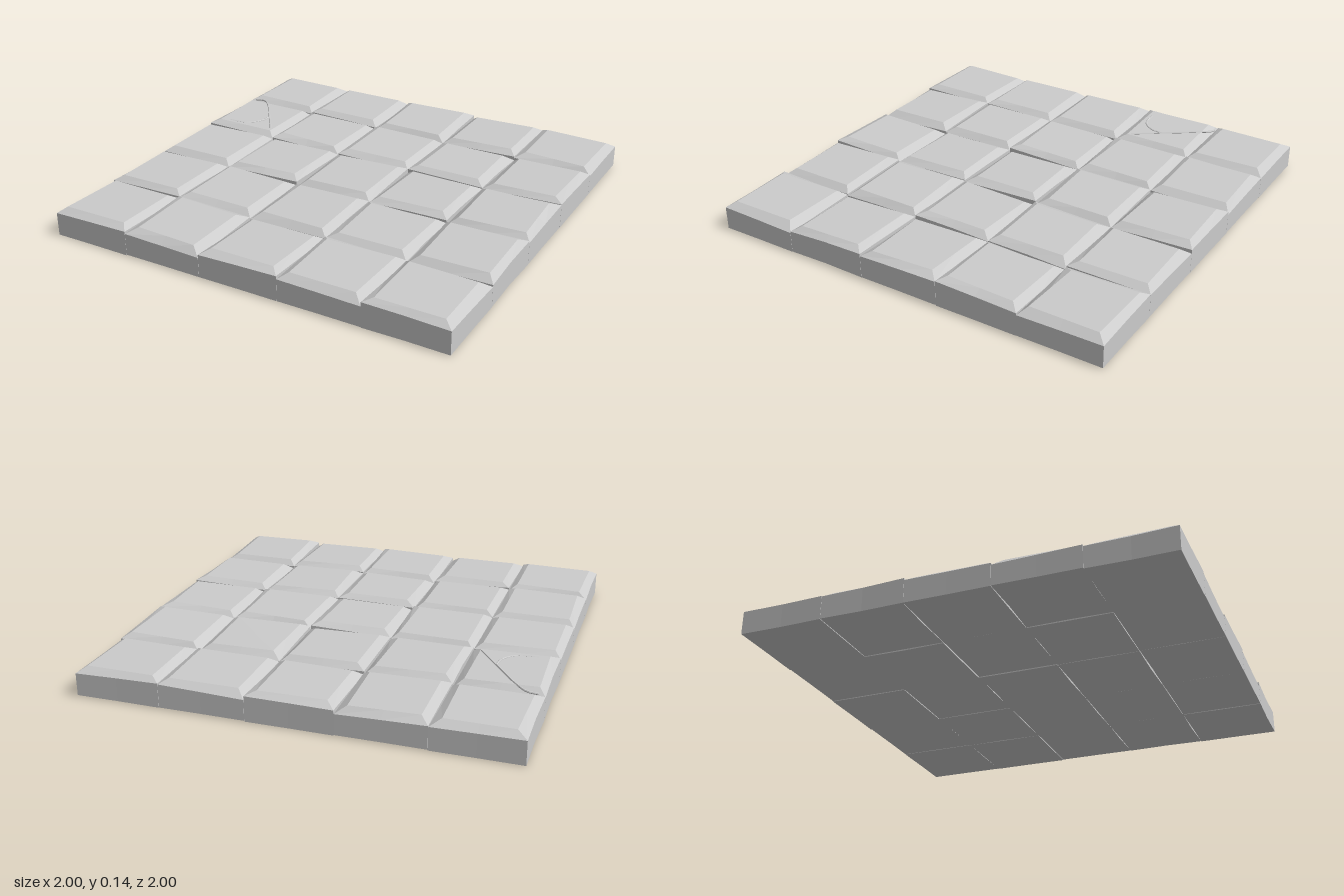
import * as THREE from 'three';

const TILES = 5, PITCH = 0.4;

// Small seeded generator, returns -1..1
function makeJitter(seed) {
  let s = seed;
  return () => {
    s = (s * 16807) % 2147483647;
    return (s / 2147483647) * 2 - 1;
  };
}

// Stone tile: stacked eight-point rings (corners and edge middles), capped at both ends
function tileGeometry(jitter) {
  const corners = [[-1, 1], [1, 1], [1, -1], [-1, -1]];
  const half = PITCH / 2;
  const nicks = corners.map(() => 0.001 + 0.004 * Math.max(0, jitter()));
  const slopeX = 0.008 * jitter(), slopeZ = 0.008 * jitter();
  const insets = corners.map(() => [0.04 + 0.008 * jitter(), 0.04 + 0.008 * jitter()]);
  const baseY = 0.003 + 0.003 * jitter();

  const ring = (height, inset) => {
    const pts = corners.map(([x, z], i) => {
      const [ix, iz] = inset ? insets[i] : [0.0005, 0.0005];
      return [x * (half - ix), height(x, z), z * (half - iz)];
    });
    return pts.flatMap((p, i) => {
      const q = pts[(i + 1) % 4];
      const mid = p.map((v, k) => (v + q[k]) / 2);
      const axis = i % 2 === 0 ? 2 : 0;
      if (!inset) mid[axis] -= Math.sign(mid[axis]) * nicks[i];
      return [p, mid];
    });
  };

  const rings = [
    ring(() => baseY, false),
    ring((x, z) => 0.112 + slopeX * x + slopeZ * z, false),
    ring((x, z) => 0.137 + 0.35 * (slopeX * x + slopeZ * z), true),
  ];
  const n = 8, pos = rings.flat(2), idx = [];
  for (let r = 0; r < 2; r++) {
    for (let i = 0; i < n; i++) {
      const j = (i + 1) % n, a = r * n, b = a + n;
      idx.push(a + i, a + j, b + j, a + i, b + j, b + i);
    }
  }
  // Cap centres
  const low = 3 * n, high = low + 1;
  pos.push(0, baseY, 0, 0, 0.137, 0);
  for (let i = 0; i < n; i++) {
    const j = (i + 1) % n;
    idx.push(low, j, i, high, 2 * n + i, 2 * n + j);
  }
  const indexed = new THREE.BufferGeometry();
  indexed.setAttribute('position', new THREE.Float32BufferAttribute(pos, 3));
  indexed.setIndex(idx);
  const geo = indexed.toNonIndexed();
  geo.computeVertexNormals();
  return geo;
}

// Thin crack line following points [x, y, z]
function crack(name, points, material) {
  const curve = new THREE.CatmullRomCurve3(points.map((p) => new THREE.Vector3(...p)));
  const mesh = new THREE.Mesh(new THREE.TubeGeometry(curve, 24, 0.005, 6), material);
  mesh.name = name;
  return mesh;
}

export function createModel() {
  const model = new THREE.Group();
  model.name = 'stoneFloor';
  const stone = new THREE.MeshStandardMaterial({ color: 0xcccccc, flatShading: true });
  const jitter = makeJitter(4177);

  // Square grid of paving tiles
  for (let row = 0; row < TILES; row++) {
    for (let col = 0; col < TILES; col++) {
      const tile = new THREE.Mesh(tileGeometry(jitter), stone);
      tile.name = `tile_${row}_${col}`;
      tile.position.set((col - 2) * PITCH, 0, (row - 2) * PITCH);
      model.add(tile);
    }
  }

  // Forked crack across one tile
  const y = 0.137;
  const cracks = new THREE.Group();
  cracks.name = 'crack';
  cracks.add(
    crack('mainCrack', [[-0.97, 0.125, -0.6], [-0.92, 0.13, -0.6], [-0.86, y, -0.55],
      [-0.75, y, -0.4], [-0.65, y, -0.26]], stone),
    crack('crackBranch', [[-0.745, y, -0.39], [-0.755, y, -0.33], [-0.81, y, -0.27],
      [-0.91, y, -0.257]], stone),
  );
  model.add(cracks);
  return model;
}
